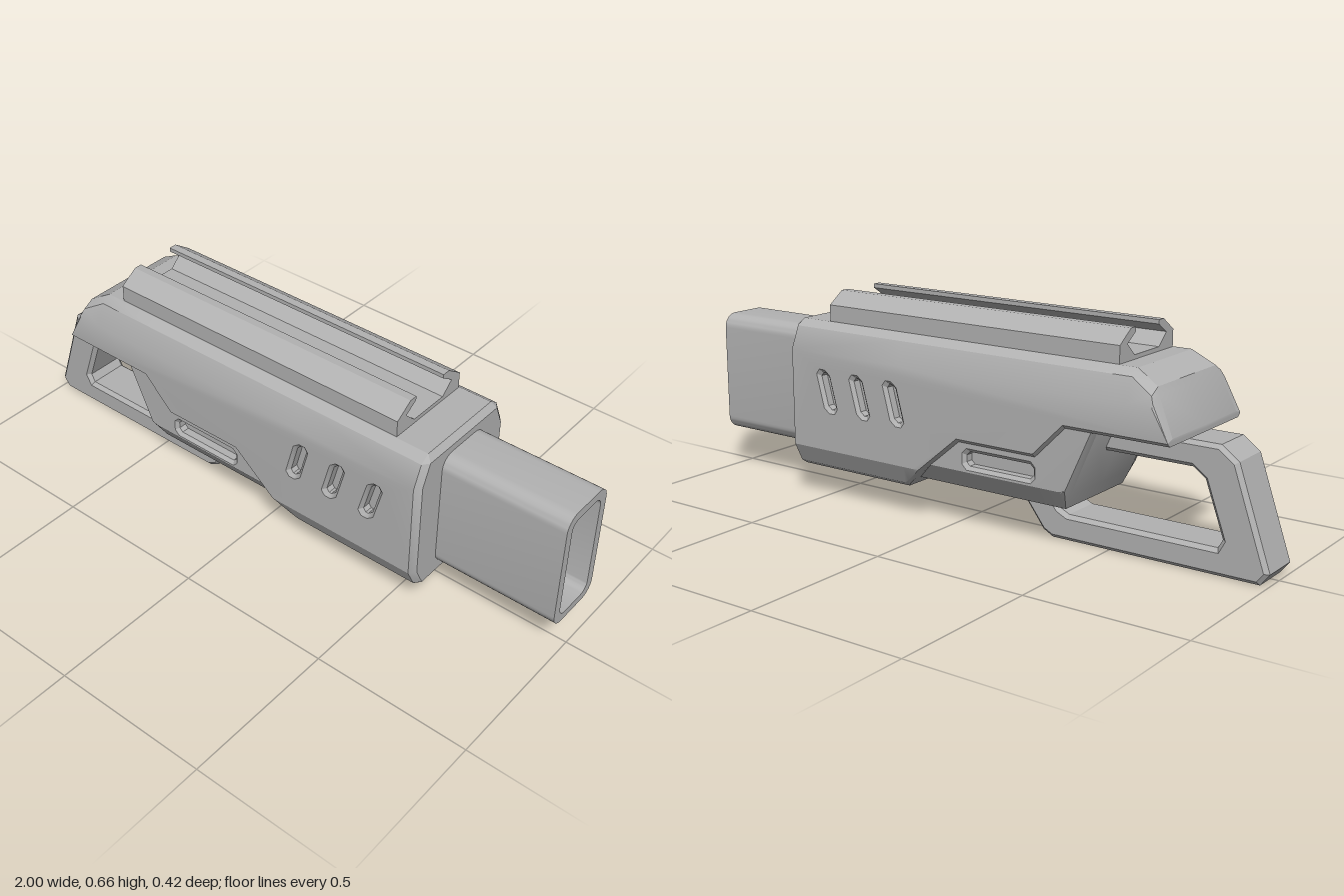
import * as THREE from 'three';
import { toCreasedNormals } from 'three/addons/utils/BufferGeometryUtils.js';

const grey = new THREE.MeshStandardMaterial({ color: 0xb2b2b2 });
grey.name = 'plain grey';

// piecewise linear lookup in [[key, value], ...]
function lerpTable(table, k) {
  if (k <= table[0][0]) return table[0][1];
  for (let i = 1; i < table.length; i++) {
    const [k0, v0] = table[i - 1], [k1, v1] = table[i];
    if (k <= k1) return v0 + (v1 - v0) * (k - k0) / (k1 - k0);
  }
  return table[table.length - 1][1];
}

// collects triangles together with their mirror image in z
class MirroredSurface {
  constructor() { this.pos = []; }
  tri(a, b, c) {
    const v = [a, b, c].map((p) => new THREE.Vector3(...p));
    if (v[1].clone().sub(v[0]).cross(v[2].clone().sub(v[0])).length() < 1e-8) return;
    this.pos.push(...a, ...b, ...c);
    for (const p of [a, c, b]) this.pos.push(p[0], p[1], -p[2]);
  }
  quad(a, b, c, d) { this.tri(a, b, c); this.tri(a, c, d); }
  geometry() {
    const g = new THREE.BufferGeometry();
    g.setAttribute('position', new THREE.Float32BufferAttribute(this.pos, 3));
    return toCreasedNormals(g, 0.45);
  }
}

// half cross-section at x, from the top centre round the side to the bottom centre
function section(x, yt, yb, o) {
  const w = (y) => lerpTable(o.width, y);
  const y4 = Math.max(o.sideBottom, yb + o.chamfer);
  const y5 = Math.max(o.cornerBottom, yb + o.chamfer * 0.9);
  const y3 = Math.max(y4, Math.min(0.48, yt - 0.03));
  const y2 = Math.max(y3, Math.min(0.55, yt - 0.02));
  const topInset = 0.025 * THREE.MathUtils.clamp((0.57 - yt) / 0.04, 0, 1);
  const bottomInset = o.chamfer * THREE.MathUtils.clamp((yb - o.base) / 0.05, 0, 1);
  return [[x, yt, 0], [x, yt, w(yt) - topInset], [x, y2, w(y2)], [x, y3, w(y3)],
    [x, y4, w(y4)], [x, y5, w(y5)], [x, yb, w(yb) - bottomInset], [x, yb, 0]];
}

// slanted slot outline with cut corners, anticlockwise
function slotOutline({ cx, cy, w, h, skew }, inset) {
  const a = w / 2 - inset, b = h / 2 - inset, c = 0.016 - inset * 0.4;
  return [[-a + c, -b], [a - c, -b], [a, -b + c], [a, b - c],
    [a - c, b], [-a + c, b], [-a, b - c], [-a, -b + c]]
    .map(([x, y]) => [cx + x + y * skew, cy + y]);
}

// hull lofted along x, with recessed slots cut in its flat sides
function hull(rings, sideZ, slots, endRing) {
  const s = new MirroredSurface();
  const PANEL = 3;
  const join = (a, b, skipPanel) => {
    for (let j = 0; j < a.length - 1; j++)
      if (!skipPanel || j !== PANEL) s.quad(a[j], a[j + 1], b[j + 1], b[j]);
  };
  for (let i = 1; i < rings.length; i++) join(rings[i - 1], rings[i], true);
  const last = endRing || rings[rings.length - 1];
  if (endRing) join(rings[rings.length - 1], endRing, false);

  // end caps
  for (const [r, front] of [[rings[0], false], [last, true]]) {
    const c = [r[0][0], (r[0][1] + r[7][1]) / 2, 0];
    for (let j = 0; j < 7; j++)
      front ? s.tri(c, r[j], r[j + 1]) : s.tri(c, r[j + 1], r[j]);
  }

  // flat side with openings
  const outline = [...rings.map((r) => r[4]), ...rings.map((r) => r[3]).reverse()]
    .map((p) => new THREE.Vector2(p[0], p[1]));
  const contour = outline.filter((p, i) =>
    p.distanceTo(outline[(i + 1) % outline.length]) > 1e-5);
  const holes = slots.map((d) => slotOutline(d, 0).map((p) => new THREE.Vector2(...p)));
  const all = [contour, ...holes].flat();
  for (const f of THREE.ShapeUtils.triangulateShape(contour, holes)) {
    const t = f.map((i) => all[i]);
    if (THREE.ShapeUtils.area(t) < 0) t.reverse();
    s.tri(...t.map((p) => [p.x, p.y, sideZ]));
  }

  // slot rims, walls and floors
  for (const d of slots) {
    const loops = [[0, 0], [0.011, 0.01], [0.011, 0.035]].map(([inset, depth]) =>
      slotOutline(d, inset).map(([x, y]) => [x, y, sideZ - depth]));
    for (let k = 0; k < 2; k++)
      for (let i = 0; i < 8; i++) {
        const n = (i + 1) % 8;
        s.quad(loops[k][i], loops[k][n], loops[k + 1][n], loops[k + 1][i]);
      }
    for (let i = 1; i < 7; i++) s.tri(loops[2][0], loops[2][i], loops[2][i + 1]);
  }
  return s.geometry();
}

const polygon = (pts) => new THREE.Shape(pts.map((p) => new THREE.Vector2(...p)));

// rounded rectangle centred on x = 0
function roundedRect(a, y0, y1, r) {
  const s = new THREE.Shape();
  s.absarc(a - r, y0 + r, r, -Math.PI / 2, 0);
  s.absarc(a - r, y1 - r, r, 0, Math.PI / 2);
  s.absarc(-a + r, y1 - r, r, Math.PI / 2, Math.PI);
  s.absarc(-a + r, y0 + r, r, Math.PI, Math.PI * 1.5);
  s.closePath();
  return s;
}

// extrude a z-y section along x from x0 to x1
function extrudeAlongX(shape, x0, x1) {
  const g = new THREE.ExtrudeGeometry(shape, { depth: x1 - x0, bevelEnabled: false, curveSegments: 4 });
  g.rotateY(Math.PI / 2);
  g.translate(x0, 0, 0);
  return toCreasedNormals(g, 0.6);
}

export function createModel() {
  const model = new THREE.Group();
  const add = (name, geometry) => {
    const m = new THREE.Mesh(geometry, grey);
    m.name = name;
    model.add(m);
  };

  // upper body
  const top = [[-0.76, 0.4], [-0.7, 0.53], [-0.63, 0.57]];
  const edge = [[-0.43, 0.38], [-0.33, 0.28], [-0.06, 0.28], [0.16, 0.095]];
  const upper = {
    width: [[0.09, 0.15], [0.11, 0.18], [0.17, 0.21], [0.48, 0.21], [0.55, 0.18], [0.57, 0.15]],
    sideBottom: 0.17, cornerBottom: 0.11, base: 0.095, chamfer: 0.012,
  };
  const upperRings = [-0.76, -0.709, -0.7, -0.63, -0.43, -0.33, -0.06, 0.084, 0.105, 0.14, 0.16, 0.588]
    .map((x) => section(x, lerpTable(top, x), lerpTable(edge, x), upper));
  const frontFace = [[0.55, 0], [0.55, 0.16], [0.55, 0.16], [0.48, 0.19],
    [0.17, 0.19], [0.11, 0.16], [0.11, 0.16], [0.11, 0]].map(([y, z]) => [0.604, y, z]);
  const vents = [0.178, 0.312, 0.445].map((cx) => ({ cx, cy: 0.36, w: 0.054, h: 0.138, skew: 0.27 }));
  add('upperBody', hull(upperRings, 0.21, vents, frontFace));

  // lower body, set in slightly under the stepped edge
  const keel = [[-0.52, 0.375], [-0.41, 0.13]];
  const lower = {
    width: [[0.13, 0.155], [0.19, 0.195]],
    sideBottom: 0.19, cornerBottom: 0.185, base: 0.13, chamfer: 0.022,
  };
  const lowerRings = [-0.52, -0.43, -0.41, -0.33, -0.06, 0.06, 0.12]
    .map((x) => section(x, lerpTable(edge, x) + 0.06, lerpTable(keel, x), lower));
  add('lowerBody', hull(lowerRings, 0.195, [{ cx: -0.2, cy: 0.23, w: 0.26, h: 0.066, skew: 0 }]));

  // clip loop
  const b = 0.012;
  const loop = polygon([[-0.988, 0.038], [-0.968, 0.012], [-0.31, 0.012], [-0.282, 0.027],
    [-0.18, 0.16], [-0.2, 0.25], [-0.33, 0.33], [-0.43, 0.36], [-0.84, 0.36], [-0.888, 0.325]]);
  loop.holes.push(polygon([[-0.872, 0.105], [-0.852, 0.068], [-0.36, 0.068], [-0.325, 0.085],
    [-0.27, 0.15], [-0.3, 0.25], [-0.4, 0.308], [-0.765, 0.308], [-0.81, 0.275]]));
  const clip = new THREE.ExtrudeGeometry(loop,
    { depth: 0.126, bevelThickness: b, bevelSize: b, bevelSegments: 1 });
  clip.translate(0, 0, -0.063);
  add('clipLoop', toCreasedNormals(clip, 0.3));

  // hollow connector tube
  const tube = roundedRect(0.1, 0.132, 0.528, 0.045);
  tube.holes.push(roundedRect(0.072, 0.157, 0.5, 0.03));
  add('connector', extrudeAlongX(tube, 0.59, 1));

  // grooved top rail
  const half = [[0.067, 0.583], [0.107, 0.62], [0.064, 0.648], [0.064, 0.661],
    [0.09, 0.661], [0.147, 0.622], [0.147, 0.545]];
  const mirrored = half.map(([z, y]) => [-z, y]).reverse();
  add('topRail', extrudeAlongX(polygon([...half, ...mirrored]), -0.57, 0.48));

  return model;
}
